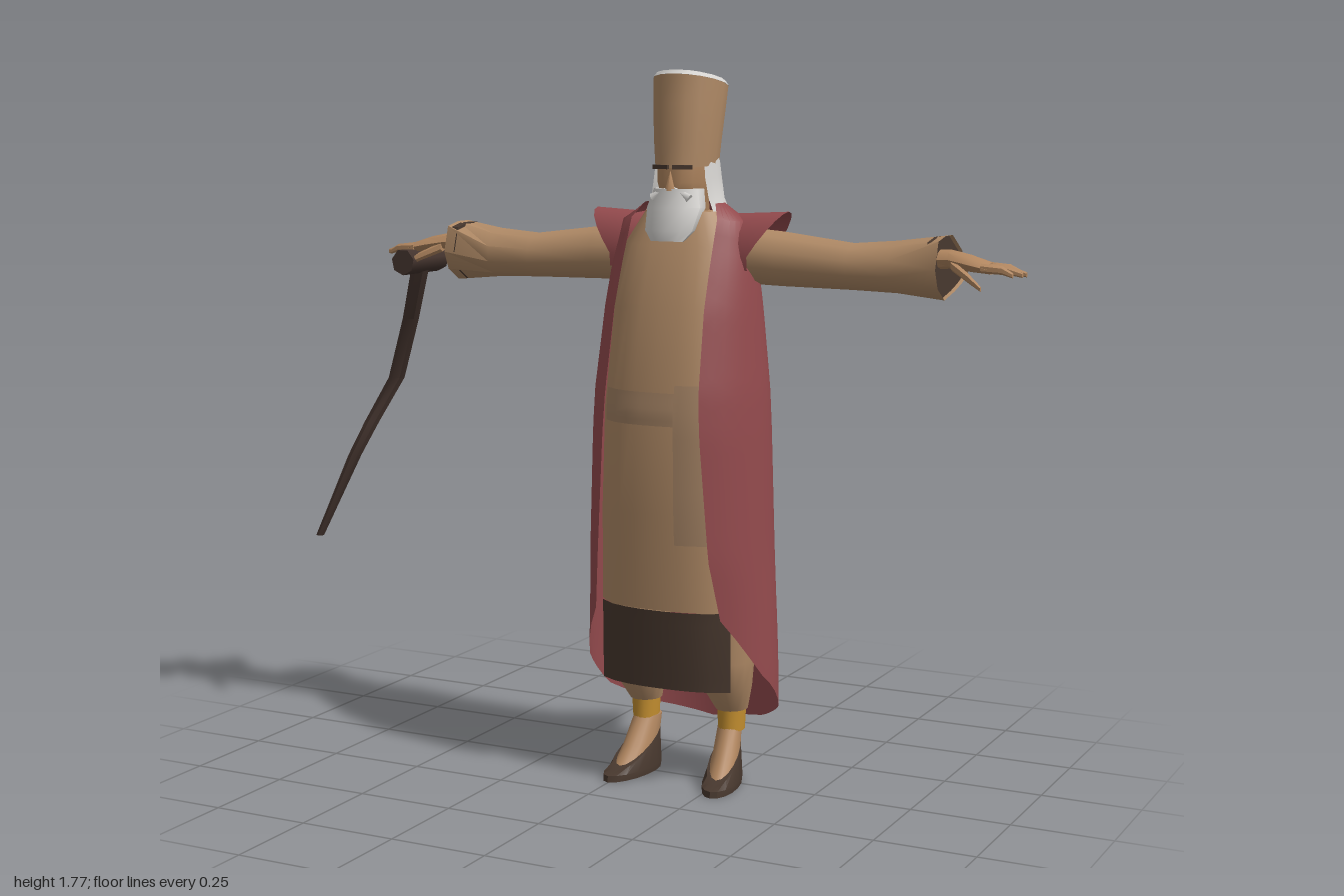
import * as THREE from 'three';
import { toCreasedNormals } from 'three/addons/utils/BufferGeometryUtils.js';

const mat = (name, color) => {
  const m = new THREE.MeshStandardMaterial({ color, side: THREE.DoubleSide });
  m.name = name;
  return m;
};

// Skin a list of cross-sections; mirror flips it to the other side.
function loft(rings, { closed = true, caps = true, mirror = false, crease = 0.8 } = {}) {
  if (mirror) rings = rings.map(r => r.map(p => [-p[0], p[1], p[2]])).reverse();
  const n = rings[0].length, pos = rings.flat(2), idx = [];
  const spans = closed ? n : n - 1;
  for (let i = 0; i < rings.length - 1; i++) {
    for (let j = 0; j < spans; j++) {
      const a = i * n + j, b = i * n + (j + 1) % n;
      idx.push(a, b, b + n, a, b + n, a + n);
    }
  }
  if (closed && caps) {
    const t = (rings.length - 1) * n;
    for (let j = 1; j < n - 1; j++) idx.push(0, j + 1, j, t, t + j, t + j + 1);
  }
  const g = new THREE.BufferGeometry();
  g.setAttribute('position', new THREE.Float32BufferAttribute(pos, 3));
  g.setIndex(idx);
  return toCreasedNormals(g, crease);
}

const spow = (v, e) => Math.sign(v) * Math.abs(v) ** e;

// Level ring: centre, radii, tilt along z, roundness exponent
function ringY(y, cx, cz, rx, rz, tilt = 0, n = 16, e = 1) {
  return Array.from({ length: n }, (_, j) => {
    const a = j / n * Math.PI * 2, z = rz * spow(Math.cos(a), e);
    return [cx + rx * spow(Math.sin(a), e), y + tilt * z, cz + z];
  });
}

// Upright ring across an arm
function ringX(x, cy, cz, ry, rz, n = 10) {
  return Array.from({ length: n }, (_, j) => {
    const a = j / n * Math.PI * 2;
    return [x, cy + ry * Math.cos(a), cz + rz * Math.sin(a)];
  });
}

// Linear lookup in a table sorted by its first column
function lookup(table, y) {
  let i = 0;
  while (i < table.length - 2 && y > table[i + 1][0]) i++;
  const a = table[i], b = table[i + 1];
  const t = THREE.MathUtils.clamp((y - a[0]) / (b[0] - a[0]), 0, 1);
  return a.map((v, k) => v + (b[k] - v) * t);
}

// Height, half width, half depth of the robe
const ROBE = [[0.26, 0.215, 0.135], [0.46, 0.205, 0.153], [0.7, 0.2, 0.17], [0.95, 0.19, 0.176],
  [1.2, 0.17, 0.142], [1.35, 0.15, 0.1], [1.43, 0.1, 0.06]];

// Height, outer half width, opening half width, back depth, front depth
const CLOAK = [[0.1, 0.25, 0.24, 0.183, 0.04], [0.3, 0.248, 0.2, 0.18, 0.12], [0.45, 0.242, 0.17, 0.177, 0.15],
  [0.6, 0.235, 0.15, 0.172, 0.178], [0.9, 0.225, 0.13, 0.163, 0.19], [1.0, 0.22, 0.125, 0.16, 0.185],
  [1.2, 0.2, 0.12, 0.15, 0.145], [1.3, 0.187, 0.118, 0.14, 0.11], [1.42, 0.16, 0.115, 0.115, 0.06],
  [1.45, 0.1, 0.095, 0.08, 0.03]];
const HEM = [[0, 0.11], [0.35, 0.14], [0.62, 0.2], [0.85, 0.31], [1, 0.45]];

// Thin sheet lying on the front of the robe
function frontPanel(x0, x1, y0, y1, off) {
  return loft(Array.from({ length: 7 }, (_, i) => {
    const y = y0 + (y1 - y0) * i / 6, [, rx, rz] = lookup(ROBE, y);
    return Array.from({ length: 9 }, (_, j) => {
      const x = x0 + (x1 - x0) * j / 8;
      return [x, y, rz * (1 - Math.abs(x / rx) ** 2.5) ** 0.4 + off];
    });
  }), { closed: false });
}

function cloakGeometry() {
  const rows = 28, cols = 36;
  return loft(Array.from({ length: rows + 1 }, (_, i) => Array.from({ length: cols + 1 }, (_, j) => {
    const u = 1 - j / cols * 2, hem = lookup(HEM, Math.abs(u))[1];
    const y = hem + (1.45 - hem) * i / rows;
    const [, xo, xi, zb, zf] = lookup(CLOAK, y);
    const end = Math.PI - Math.asin(xi / xo), a = u * end, c = Math.cos(a);
    return [xo * Math.sin(a), y, c > 0 ? -zb * c : zf * c / Math.cos(end)];
  })), { closed: false });
}

export function createModel() {
  const tan = mat('robe tan', 0xb08a66), red = mat('cloak red', 0x934a4d), dark = mat('dark brown', 0x49392f);
  const white = mat('white hair', 0xd4d2cf), skin = mat('skin', 0xb28760), gold = mat('gold', 0xc48f30);
  const sash = mat('sash', 0xa28163), wood = mat('staff wood', 0x44342e);

  const model = new THREE.Group();
  const body = new THREE.Group();
  body.name = 'body';
  body.position.x = 0.14;
  model.add(body);
  const add = (name, geo, m, parent = body) => {
    const mesh = new THREE.Mesh(geo, m);
    mesh.name = name;
    parent.add(mesh);
    return mesh;
  };

  // Clothing
  add('robe', loft(ROBE.slice(1).map(([y, rx, rz]) => ringY(y, 0, 0, rx, Math.min(rz, 0.176), 0, 28, 0.8)
    .map(p => [p[0], p[1], p[2] < 0 ? p[2] * 0.75 : p[2]]))), tan);
  add('cloak', cloakGeometry(), red);
  add('apron', frontPanel(-0.175, 0.175, 0.26, 0.46, 0.005), dark);
  add('belt', frontPanel(-0.15, 0.15, 0.92, 1.0, 0.003), sash);
  add('sashEnd', frontPanel(0.055, 0.15, 0.63, 1.02, 0.008), sash);

  // Head and tall hat
  add('head', loft([[1.4, -0.03, 0.05, 0.05], [1.46, 0, 0.055, 0.07], [1.5, 0, 0.066, 0.08], [1.56, -0.01, 0.07, 0.085]]
    .map(([y, cz, rx, rz]) => ringY(y, 0, cz, rx, rz))), skin);
  const nose = add('nose', new THREE.ConeGeometry(0.014, 0.05, 5), skin);
  nose.position.set(0, 1.505, 0.083);
  add('hat', loft([[1.54, -0.01, 0.075, 0.092, -0.05], [1.6, -0.013, 0.08, 0.095, 0], [1.68, -0.022, 0.086, 0.1, 0.1],
    [1.74, -0.03, 0.089, 0.104, 0.2]].map(([y, cz, rx, rz, k]) => ringY(y, 0, cz, rx, rz, k))), tan);
  add('hatTop', loft([[1.739, 0.09, 0.105], [1.75, 0.082, 0.096], [1.758, 0.045, 0.055]]
    .map(([y, rx, rz]) => ringY(y, 0, -0.03, rx, rz, 0.2))), white);
  for (const s of [-1, 1]) {
    const brow = add('eyebrow', new THREE.BoxGeometry(0.048, 0.01, 0.008), dark);
    brow.position.set(s * 0.029, 1.537, 0.077);
    brow.rotation.y = s * 0.3;
  }

  // Hair wraps the back and sides of the neck
  add('hair', loft([[1.42, 0.11, 0.095], [1.46, 0.09, 0.09], [1.51, 0.08, 0.095], [1.56, 0.074, 0.088]]
    .map(([y, rx, rz]) => Array.from({ length: 17 }, (_, j) => {
      const a = Math.PI + (j / 8 - 1) * 2.1;
      return [rx * Math.sin(a), y, -0.015 + rz * Math.cos(a)];
    })), { closed: false }), white);
  add('beard', loft([[1.36, 0.1, 0.045, 0.01], [1.385, 0.085, 0.066, 0.028], [1.44, 0.05, 0.075, 0.05], [1.485, 0.035, 0.062, 0.058]]
    .map(([y, cz, rx, rz]) => ringY(y, 0, cz, rx, rz, 0, 10))), white);
  for (const s of [-1, 1]) {
    const m = add('moustache', new THREE.ConeGeometry(0.012, 0.055, 5), white);
    m.position.set(s * 0.026, 1.477, 0.08);
    m.rotation.z = s * 1.0;
  }

  // Cuff outline as offsets in y and z, matched to the angles of the sleeve rings
  const cuff = [[1.385, -0.07], [1.385, -0.02], [1.375, 0.03], [1.31, 0.05], [1.265, 0.03], [1.235, -0.02],
    [1.25, -0.09], [1.265, -0.14], [1.285, -0.19], [1.345, -0.14]].map(([y, z]) => [0.662, y, z]);

  for (const mirror of [false, true]) {
    const s = mirror ? -1 : 1, side = mirror ? 'right' : 'left';
    const part = (name, geo, m) => add(side + name, geo, m);

    // Sleeve, with the dark lining set just inside its mouth
    const sleeve = [[0.1, 1.325, 0.07, 0.075, -0.035], [0.25, 1.317, 0.066, 0.073, -0.035], [0.43, 1.305, 0.056, 0.068, -0.035],
      [0.54, 1.308, 0.062, 0.076, -0.035]].map(([x, y, ry, rz, cz]) => ringX(x, y, cz, ry, rz));
    part('Sleeve', loft([...sleeve, cuff], { mirror, caps: false }), tan);
    const inner = cuff.map(([x, y, z]) => [x - 0.008, 1.31 + (y - 1.31) * 0.96, -0.05 + (z + 0.05) * 0.96]);
    part('CuffLining', loft([inner.map(([x, y, z]) => [x - 0.02, y, z]), inner], { mirror }), dark);

    // Flared shoulder cap of the cloak
    part('ShoulderCap', loft([0, 0.5, 1].map(t => Array.from({ length: 13 }, (_, j) => {
      const a = (j / 6 - 1) * 1.9, c = Math.cos(a);
      return [0.11 + t * (0.075 + 0.075 * Math.max(c, 0)), 1.325 + c * (0.098 + 0.008 * t), -0.035 + 0.082 * Math.sin(a)];
    })), { closed: false, mirror }), red);

    // Hand, fingers and thumb
    part('Hand', loft([[0.63, 1.33, -0.01, 0.024, 0.03], [0.68, 1.333, -0.012, 0.022, 0.032], [0.73, 1.325, -0.008, 0.02, 0.044],
      [0.78, 1.315, -0.005, 0.014, 0.042]].map(([x, y, z, ry, rz]) => ringX(x, y, z, ry, rz, 8)), { mirror }), skin);
    for (let k = 0; k < 4; k++) {
      const z = -0.036 + k * 0.021, tip = [0.845, 0.86, 0.857, 0.84][k];
      part('Finger', loft([ringX(0.765, 1.317, z, 0.011, 0.011, 6), ringX(0.815, 1.314, z, 0.01, 0.01, 6),
        ringX(tip, 1.303, z, 0.006, 0.006, 6)], { mirror }), skin);
    }
    part('Thumb', loft([ringX(0.69, 1.32, 0.012, 0.013, 0.014, 6), ringX(0.74, 1.295, 0.045, 0.011, 0.012, 6),
      ringX(0.775, 1.272, 0.06, 0.006, 0.006, 6)], { mirror }), skin);

    // Leg, sock, foot and shoe
    part('TrouserLeg', loft([[0.185, -0.03, 0.04, 0.045], [0.25, 0.0, 0.062, 0.068], [0.32, 0.01, 0.072, 0.075], [0.48, 0, 0.078, 0.08]]
      .map(([y, cz, rx, rz]) => ringY(y, s * 0.12, cz, rx, rz))), tan);
    part('Sock', loft([ringY(0.13, s * 0.12, -0.03, 0.032, 0.041), ringY(0.2, s * 0.12, -0.03, 0.036, 0.044)]), gold);
    const splay = rings => rings.map(r => r.map(([x, y, z]) => [x + s * (0.12 + 0.15 * z), y, z]));
    part('Foot', loft(splay([ringY(0.06, 0, 0.018, 0.035, 0.082, -0.45), ringY(0.09, 0, -0.005, 0.033, 0.062, -0.3),
      ringY(0.14, 0, -0.03, 0.031, 0.04)])), skin);
    part('Shoe', loft(splay([ringY(0, 0, 0.038, 0.044, 0.107), ringY(0.016, 0, 0.036, 0.046, 0.107),
      ringY(0.066, 0, 0.022, 0.038, 0.09, -0.5)]), { crease: 0.6 }), dark);
  }

  // Crooked staff with a short cross grip
  const staff = new THREE.Group();
  staff.name = 'staff';
  model.add(staff);
  add('staffShaft', loft([[-0.99, 0.51, -0.04, 0.011], [-0.88, 0.74, -0.055, 0.018], [-0.84, 0.83, -0.08, 0.02],
    [-0.785, 0.95, -0.122, 0.022], [-0.7, 1.12, -0.065, 0.022], [-0.635, 1.28, -0.02, 0.024]]
    .map(([x, y, z, r]) => ringY(y, x, z, r, r, 0, 7))), wood, staff);
  const grip = add('staffGrip', new THREE.CylinderGeometry(0.034, 0.034, 0.17, 7), wood, staff);
  grip.position.set(-0.638, 1.28, -0.018);
  grip.rotation.x = Math.PI / 2;

  return model;
}
